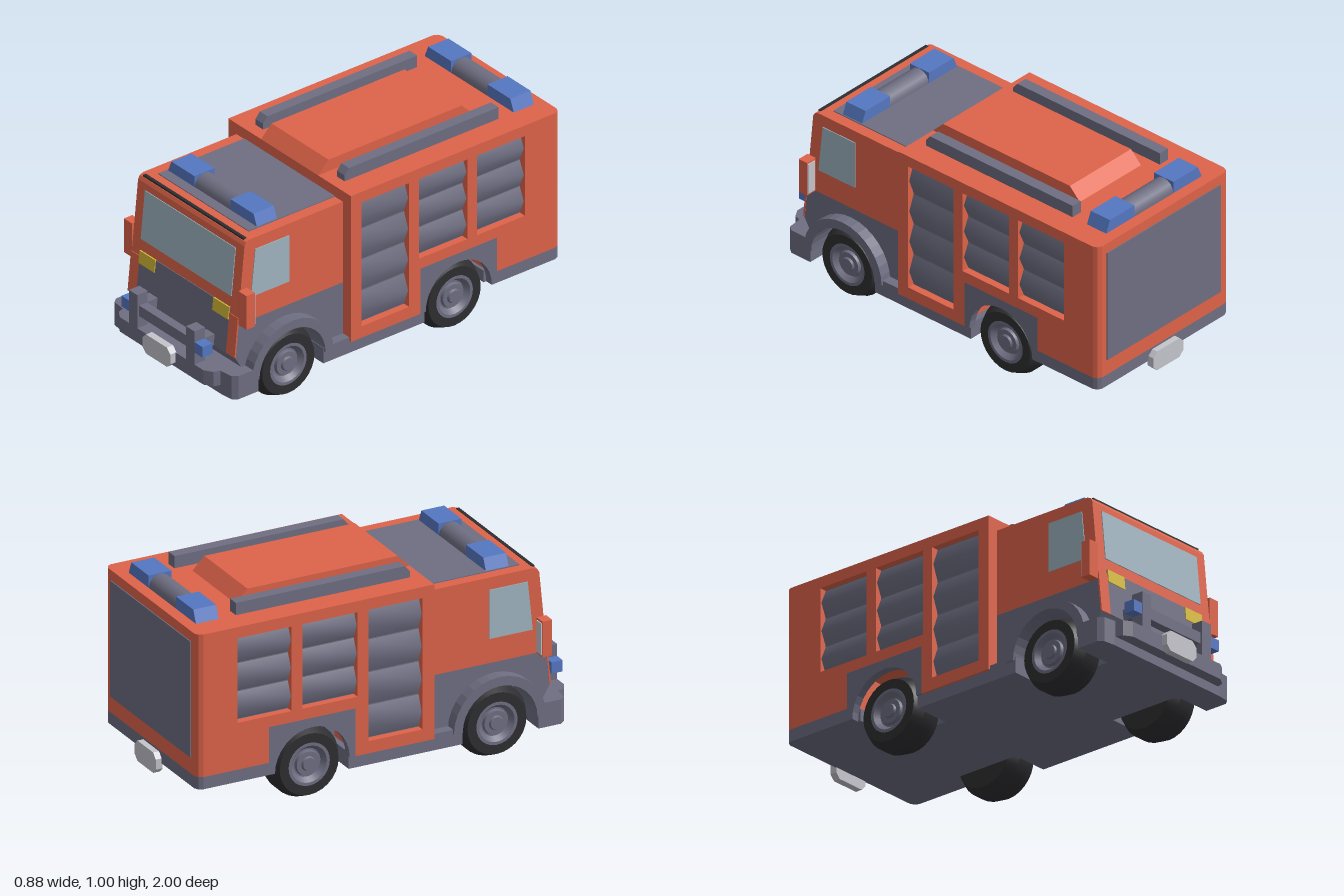
import * as THREE from 'three';

const mat = (name, color) => Object.assign(new THREE.MeshStandardMaterial({ color }), { name });

export function createModel() {
  const orange = mat('orange paint', 0xde6349);
  const grey = mat('slate grey', 0x6e6e82);
  const glass = mat('window glass', 0xa0b5c1);
  const blue = mat('beacon blue', 0x5577c2);
  const yellow = mat('headlight yellow', 0xd6ba38);
  const silver = mat('plate silver', 0xc4c4cc);
  const black = mat('tyre black', 0x2e2e31);
  const root = new THREE.Group();
  root.name = 'fireTruck';

  const add = (name, geo, material) => {
    const m = new THREE.Mesh(geo, material);
    m.name = name;
    root.add(m);
    return m;
  };
  // box given by its extents
  const box = (name, m, x0, x1, y0, y1, z0, z1) =>
    add(name, new THREE.BoxGeometry(x1 - x0, y1 - y0, z1 - z0)
      .translate((x0 + x1) / 2, (y0 + y1) / 2, (z0 + z1) / 2), m);
  const shapeOf = (pts) => new THREE.Shape(pts.map((p) => new THREE.Vector2(p[0], p[1])));
  const extrude = (shape, depth) => new THREE.ExtrudeGeometry(shape, { depth, bevelEnabled: false });
  // side profile of [z, y] points spanning x0..x1
  const profile = (name, m, pts, x0, x1, holes = []) => {
    const s = shapeOf(pts);
    holes.forEach((h) => s.holes.push(shapeOf(h)));
    return add(name, extrude(s, x1 - x0).rotateY(-Math.PI / 2).translate(x1, 0, 0), m);
  };
  const both = (name, m, pts, x0, x1, holes) => {
    profile(name + 'Left', m, pts, x0, x1, holes);
    profile(name + 'Right', m, pts, -x1, -x0, holes);
  };
  // plan outline of [x, z] points, mirrored in x, spanning y0..y1
  const slab = (name, m, half, y0, y1) => {
    const pts = [...half, ...half.slice().reverse().map(([x, z]) => [-x, z])];
    const s = shapeOf(pts.map(([x, z]) => [x, -z]));
    return add(name, extrude(s, y1 - y0).rotateX(-Math.PI / 2).translate(0, y0, 0), m);
  };
  // arc over a wheel, from back to front
  const arch = (c, r) => Array.from({ length: 17 }, (_, i) => {
    const a = Math.PI * (1 - i / 16);
    return [c + r * Math.cos(a), 0.18 + r * Math.sin(a)];
  });
  const rect = (z0, z1, y0, y1) => [[z0, y0], [z1, y0], [z1, y1], [z0, y1]];
  const frontZ = 0.57, rearZ = -0.385;

  // chassis
  box('chassis', grey, -0.24, 0.24, 0.12, 0.42, -0.56, 0.8);
  both('skirt', grey, rect(-0.195, 0.385, 0.12, 0.2), 0.24, 0.43);

  // rear body core, with clipped back corners
  const tail = (zf, zs) => [[0.4, zf], [0.4, zs], [0.44, zs], [0.44, -0.94], [0.43, -0.96], [0.41, -0.97]];
  slab('bodyUpper', orange, tail(0.235, -0.8), 0.42, 0.94);
  slab('bodyTail', orange, tail(-0.575, -0.8), 0.24, 0.42);
  slab('tailBase', grey, tail(-0.56, -0.605), 0.18, 0.24);
  box('bodyMiddle', orange, -0.4, 0.4, 0.18, 0.42, -0.165, 0.235);

  // side walls with roller-shutter openings
  const lockers = [[-0.1, 0.175, 0.24, 4], [-0.435, -0.155, 0.47, 3], [-0.765, -0.49, 0.47, 3]];
  both('sideWall', orange, [[0.235, 0.18], [0.235, 0.94], [-0.8, 0.94], [-0.8, 0.24], [-0.605, 0.24],
    [-0.605, 0.415], [-0.165, 0.415], [-0.165, 0.18]], 0.4, 0.44,
  lockers.map(([a, b, y]) => rect(a, b, y, 0.885)));
  both('rearArchPanel', grey, [[-0.605, 0.18], ...arch(rearZ, 0.19), [-0.165, 0.18],
    [-0.165, 0.415], [-0.605, 0.415]], 0.4, 0.44);
  for (const [a, b, y, n] of lockers) {
    const h = (0.885 - y) / n;
    for (let i = 0; i < n; i++) for (const s of [1, -1]) {
      const slat = new THREE.CylinderGeometry(1, 1, b - a, 2, 1, true, 0, Math.PI);
      slat.rotateX(Math.PI / 2).scale(0.03, h / 2, 1);
      if (s < 0) slat.rotateY(Math.PI);
      slat.computeVertexNormals();
      slat.translate(s * 0.402, y + h * (i + 0.5), (a + b) / 2);
      add('shutterSlat', slat, grey);
    }
    for (const s of [1, -1]) box('shutterBack', grey, s * 0.4 - 0.003, s * 0.4 + 0.003, y, 0.885, a, b);
  }
  box('rearPanel', grey, -0.38, 0.38, 0.32, 0.89, -0.975, -0.968);

  // roof
  profile('roofHatch', orange, [[0.235, 0.94], [0.175, 1], [-0.59, 1], [-0.65, 0.94]], -0.205, 0.205);
  both('roofRail', grey, [[0.175, 0.94], [0.175, 0.97], [0.15, 1], [-0.71, 1], [-0.71, 0.94]], 0.265, 0.32);

  // cab
  profile('cabUpper', orange, [[0.235, 0.465], [0.235, 0.885], [0.77, 0.885], [0.79, 0.877], [0.8, 0.86],
    [0.839, 0.465]], -0.382, 0.382);
  profile('cabLower', grey, [[0.235, 0.18], ...arch(frontZ, 0.19), [0.82, 0.24], [0.855, 0.3],
    [0.839, 0.465], [0.235, 0.465]], -0.382, 0.382);
  box('cabRoofPanel', grey, -0.325, 0.325, 0.884, 0.889, 0.235, 0.73);
  box('roofSeam', black, -0.36, 0.36, 0.878, 0.887, 0.772, 0.788);
  both('sideWindow', glass, [[0.545, 0.585], [0.765, 0.585], [0.74, 0.825], [0.545, 0.825]], 0.38, 0.386);

  // thin plates on the sloping front
  const slope = Math.atan(0.098);
  const plate = (name, m, x0, x1, y0, y1, lift = 0) => {
    const p = add(name, new THREE.BoxGeometry(x1 - x0, (y1 - y0) / Math.cos(slope), 0.008), m);
    const y = (y0 + y1) / 2;
    p.position.set((x0 + x1) / 2, y, 0.8 + (0.86 - y) * 0.098 + lift);
    p.rotation.x = -slope;
  };
  plate('windscreen', glass, -0.325, 0.325, 0.585, 0.828);
  plate('grille', grey, -0.322, 0.322, 0.3, 0.528);
  for (const s of [1, -1]) {
    plate('headlight', yellow, s * 0.265 - 0.057, s * 0.265 + 0.057, 0.467, 0.53, 0.004);
    plate('cornerPillar', orange, s * 0.353 - 0.031, s * 0.353 + 0.031, 0.3, 0.5);
    // mirrors
    box('mirror', orange, s * 0.411 - 0.029, s * 0.411 + 0.029, 0.465, 0.64, 0.786, 0.835);
    box('mirrorGlass', silver, s * 0.413 - 0.023, s * 0.413 + 0.023, 0.475, 0.63, 0.781, 0.787);
  }

  // front wings
  both('frontWing', grey, [...arch(frontZ, 0.235), ...arch(frontZ, 0.19).reverse()], 0.38, 0.44);
  both('wingFiller', grey, [[0.76, 0.18], [0.84, 0.18], [0.84, 0.24], [0.795, 0.24]], 0.38, 0.44);

  // bumper and bull bar
  slab('bumper', grey, [[0.44, 0.765], [0.44, 0.88], [0.42, 0.905], [0.36, 0.912]], 0.12, 0.24);
  slab('bumperStep', grey, [[0.355, 0.9], [0.34, 0.945], [0.3, 0.97]], 0.165, 0.24);
  box('bullBarCross', grey, -0.18, 0.18, 0.3, 0.355, 0.915, 0.96);
  for (const s of [1, -1]) {
    const c = s * 0.205;
    box('bullBarPost', grey, c - 0.03, c + 0.03, 0.235, 0.412, 0.91, 0.97);
    box('bullBarBracket', grey, c - 0.03, c + 0.03, 0.3, 0.355, 0.84, 0.91);
    box('frontBeacon', blue, s * 0.263 - 0.028, s * 0.263 + 0.028, 0.3, 0.355, 0.912, 0.968);
  }

  // number plates, left blank
  const octagon = [[0.075, -0.05], [0.1, -0.025], [0.1, 0.025], [0.075, 0.05],
    [-0.075, 0.05], [-0.1, 0.025], [-0.1, -0.025], [-0.075, -0.05]];
  add('frontPlate', extrude(shapeOf(octagon), 0.035).translate(0, 0.215, 0.965), silver);
  add('rearPlate', extrude(shapeOf(octagon), 0.035).translate(0, 0.18, -1), silver);

  // roof light bars
  for (const [y, z] of [[0.885, 0.62], [0.94, -0.855]]) {
    add('lightBarCentre', new THREE.CylinderGeometry(0.058, 0.058, 0.27, 16)
      .rotateZ(Math.PI / 2).translate(0, y, z), grey);
    for (const s of [1, -1]) {
      const pts = [[s * 0.13, 0], [s * 0.32, 0], [s * 0.295, 0.06], [s * 0.13, 0.06]];
      add('lightBarLamp', extrude(shapeOf(pts), 0.116).translate(0, y, z - 0.058), blue);
    }
  }

  // wheels turned about the x axis: [radius, offset]
  const turn = (pts) => new THREE.LatheGeometry(pts.map((p) => new THREE.Vector2(p[0], p[1])), 28);
  const tyreParts = [[[0, -0.085], [0.15, -0.085]], [[0.15, -0.085], [0.175, -0.033]],
    [[0.175, -0.033], [0.175, 0.033]], [[0.175, 0.033], [0.15, 0.085]], [[0.15, 0.085], [0.105, 0.085]]];
  const rimParts = [[[0.105, 0.085], [0.09, 0.085]], [[0.09, 0.085], [0.07, 0.06]], [[0.07, 0.06], [0.062, 0.06]],
    [[0.062, 0.06], [0.058, 0.075]], [[0.058, 0.075], [0.035, 0.075]], [[0.035, 0.075], [0.03, 0.085]],
    [[0.03, 0.085], [0, 0.085]]];
  for (const z of [frontZ, rearZ]) for (const s of [1, -1]) {
    const wheel = new THREE.Group();
    wheel.name = 'wheel';
    tyreParts.forEach((p) => wheel.add(Object.assign(new THREE.Mesh(turn(p), black), { name: 'tyre' })));
    rimParts.forEach((p) => wheel.add(Object.assign(new THREE.Mesh(turn(p), grey), { name: 'rim' })));
    wheel.rotation.z = -s * Math.PI / 2;
    wheel.position.set(s * 0.325, 0.175, z);
    root.add(wheel);
  }
  return root;
}
